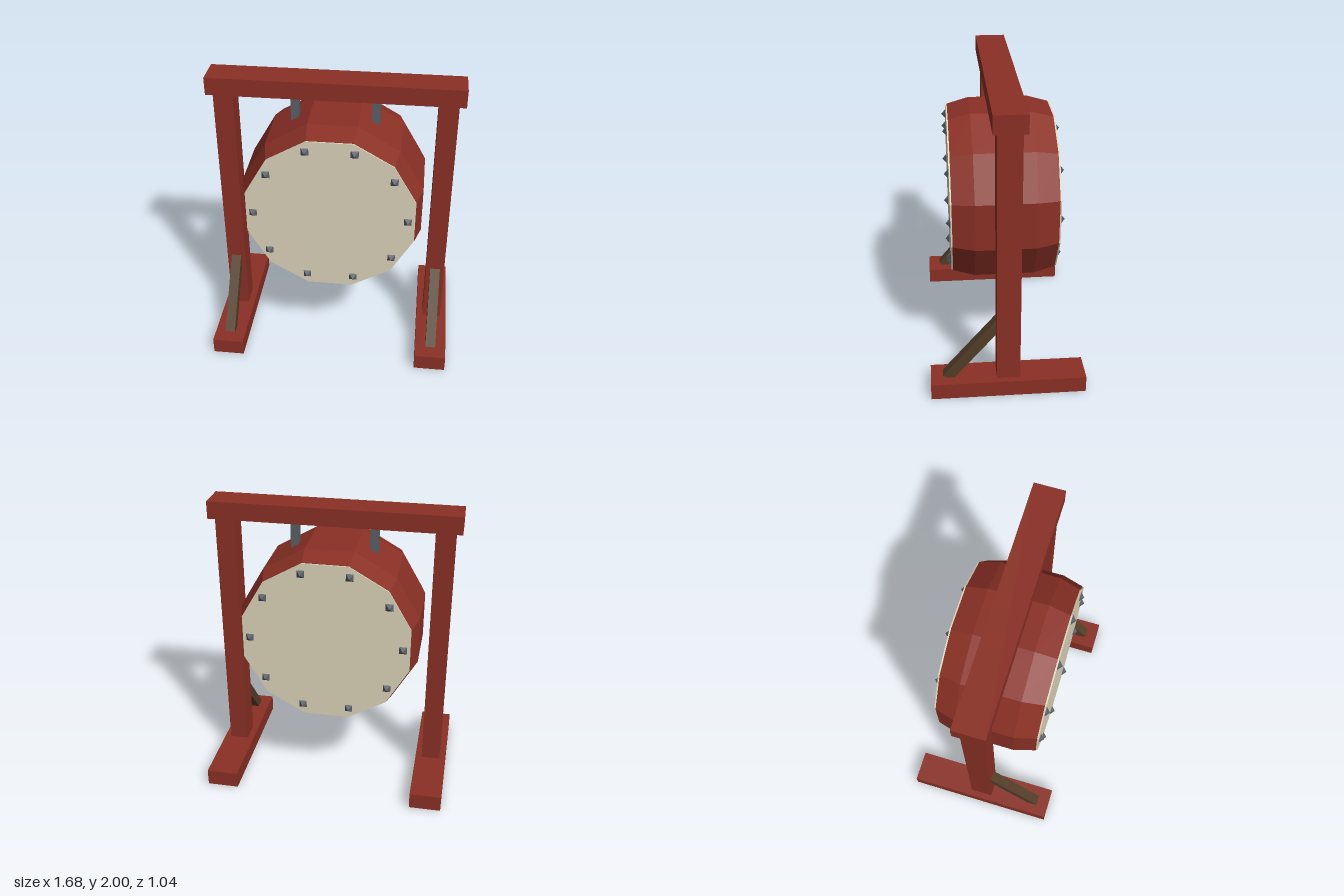
import * as THREE from 'three';

export function createModel() {
  const model = new THREE.Group();
  const mat = (name, color, extra = {}) => {
    const m = new THREE.MeshStandardMaterial({ color, flatShading: true, ...extra });
    m.name = name;
    return m;
  };
  const red = mat('red lacquer', 0x8a3025, { side: THREE.DoubleSide });
  const hide = mat('drum hide', 0xddd4ba);
  const wood = mat('dark wood', 0x543e29);
  const iron = mat('iron', 0x5a6067);

  const add = (name, geometry, material, x = 0, y = 0, z = 0) => {
    const mesh = new THREE.Mesh(geometry, material);
    mesh.name = name;
    mesh.position.set(x, y, z);
    model.add(mesh);
    return mesh;
  };
  const box = (name, material, w, h, d, x, y, z) =>
    add(name, new THREE.BoxGeometry(w, h, d), material, x, y, z);

  // Frame
  box('topBeam', red, 1.676, 0.12, 0.21, 0, 1.94, 0);
  for (const s of [-1, 1]) {
    const side = s > 0 ? 'left' : 'right';
    box(side + 'Post', red, 0.13, 1.765, 0.156, s * 0.73, 0.9975, 0);

    // Hollow foot, open underneath (the box's fourth face is left out)
    const foot = new THREE.BoxGeometry(0.218, 0.115, 1.04);
    const index = Array.from(foot.index.array);
    index.splice(18, 6);
    foot.setIndex(index);
    foot.clearGroups();
    add(side + 'Foot', foot, red, s * 0.729, 0.0575, 0);

    // Slanted brace from the foot up to the post
    const low = new THREE.Vector3(s * 0.73, 0.11, 0.41);
    const high = new THREE.Vector3(s * 0.73, 0.55, 0.043);
    const brace = box(side + 'Brace', wood, 0.07, 0.07, low.distanceTo(high), 0, 0, 0);
    brace.position.copy(low).add(high).multiplyScalar(0.5);
    brace.lookAt(high);

    // Hanger between beam and drum
    box(side + 'Hanger', iron, 0.055, 0.28, 0.055, s * 0.267, 1.74, 0);
  }

  // Twelve-sided drum lying along z
  const drumY = 1.155;
  const turned = (g) => g.rotateY(Math.PI / 12).rotateX(Math.PI / 2);
  const profile = [[0, -0.345], [0.586, -0.345], [0.626, -0.2], [0.626, 0.2], [0.586, 0.345], [0, 0.345]]
    .map(([r, y]) => new THREE.Vector2(r, y));
  add('drumBody', turned(new THREE.LatheGeometry(profile, 12)), red, 0, drumY, 0);

  // Drumheads with ten pyramid studs each
  for (const s of [-1, 1]) {
    const end = s > 0 ? 'front' : 'back';
    add(end + 'Drumhead', turned(new THREE.CylinderGeometry(0.583, 0.583, 0.016, 12)), hide, 0, drumY, s * 0.347);
    const stud = new THREE.ConeGeometry(0.037, 0.03, 4).rotateY(Math.PI / 4).rotateX(s * Math.PI / 2);
    for (let i = 0; i < 10; i++) {
      const a = (i * Math.PI) / 5;
      add(end + 'Stud', stud, iron, 0.515 * Math.cos(a), drumY + 0.515 * Math.sin(a), s * 0.369);
    }
  }
  return model;
}
